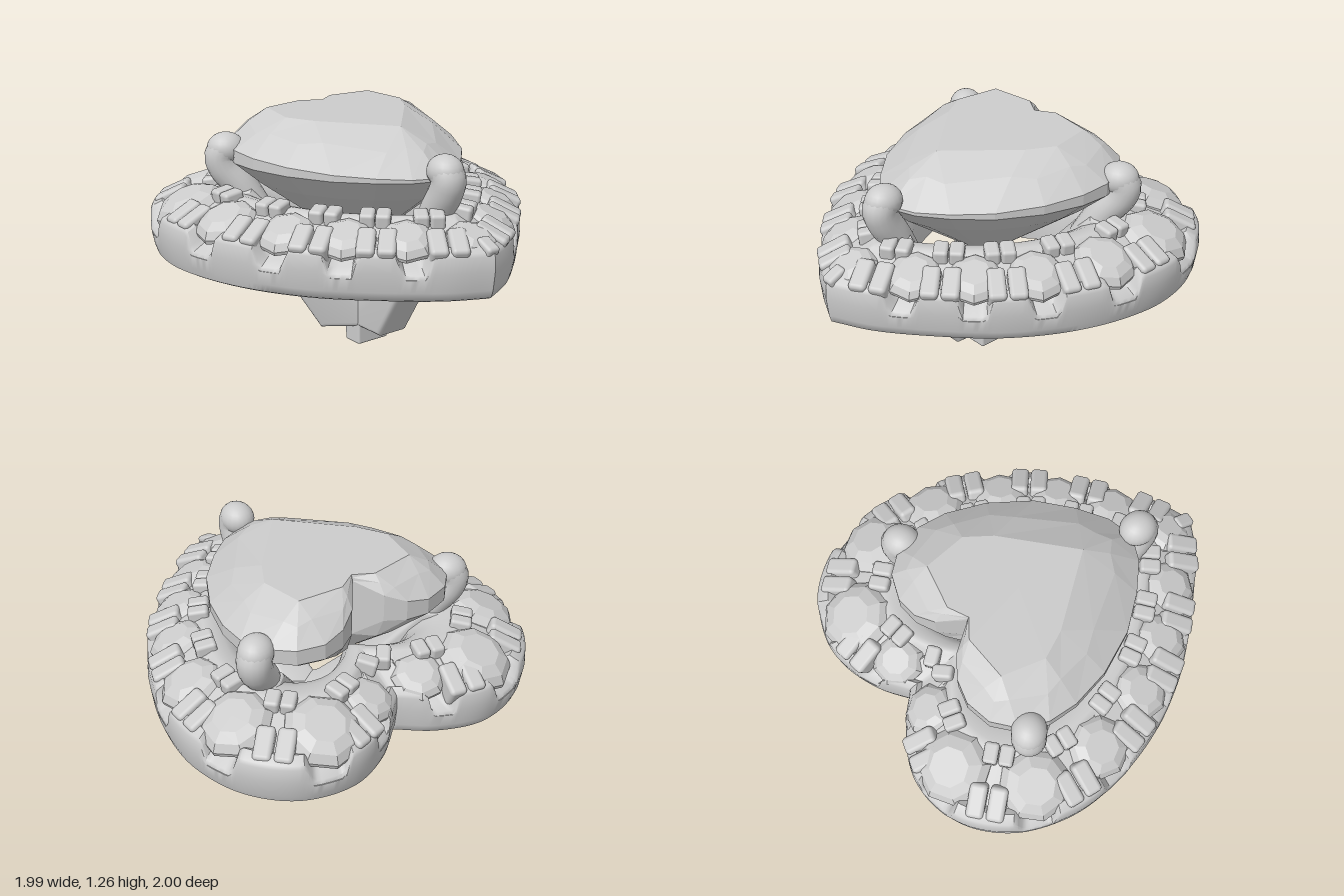
import * as THREE from 'three';
import { toCreasedNormals } from 'three/addons/utils/BufferGeometryUtils.js';
import { RoundedBoxGeometry } from 'three/addons/geometries/RoundedBoxGeometry.js';

const metal = new THREE.MeshStandardMaterial({ color: 0xcccccc });
metal.name = 'silver grey';

// Half outlines from cleft to tip, [outer x, outer z, inner x, inner z]
const HALO = [
  [0, -0.78, 0, -0.46], [0.18, -0.92, 0.12, -0.56], [0.42, -1, 0.3, -0.63], [0.7, -0.93, 0.47, -0.59],
  [0.9, -0.72, 0.58, -0.47], [0.99, -0.42, 0.62, -0.33], [0.97, -0.14, 0.61, -0.16], [0.87, 0.16, 0.54, 0.06],
  [0.69, 0.45, 0.42, 0.28], [0.455, 0.69, 0.28, 0.44], [0.205, 0.895, 0.13, 0.57], [0, 1, 0, 0.66],
];
// Halo stones [position along outline, radius] and the gaps between them
const STONES = [[1.05, 0.14], [2.5, 0.2], [4.4, 0.19], [6.05, 0.17], [7.35, 0.155], [8.4, 0.15], [9.5, 0.15], [11, 0.135]];
const GAPS = [1.75, 3.45, 5.25, 6.75, 7.88, 8.95, 10.2];

const last = HALO.length - 1;
const curve = (k) => new THREE.CatmullRomCurve3(HALO.map((p) => new THREE.Vector3(p[k], 0, p[k + 1])));
const outer = curve(0), inner = curve(2);
// u runs from the inner (0) to the outer outline (1); below 0 it shrinks the inner one
const haloPoint = (t, u, y) => {
  const p = inner.getPoint(t / last);
  if (u < 0) p.multiplyScalar(1 + u);
  else p.lerp(outer.getPoint(t / last), u);
  p.y = y;
  return p;
};

// Skin closed rings of points, listed from the bottom outwards and up
function loft(rings, wrap) {
  const n = rings[0].length, m = rings.length, index = [];
  for (let j = 0; j < (wrap ? m : m - 1); j++) {
    for (let i = 0; i < n; i++) {
      const a = j * n + i, b = j * n + (i + 1) % n;
      const c = ((j + 1) % m) * n + i, d = ((j + 1) % m) * n + (i + 1) % n;
      index.push(a, c, b, b, c, d);
    }
  }
  const g = new THREE.BufferGeometry().setFromPoints(rings.flat());
  g.setIndex(index);
  return g;
}

function facet(geometry) {
  const g = geometry.toNonIndexed();
  g.computeVertexNormals();
  return g;
}

function add(parent, name, geometry) {
  const mesh = new THREE.Mesh(geometry, metal);
  mesh.name = name;
  parent.add(mesh);
  return mesh;
}

// Mirror a half ring (cleft to tip) to the other side
const mirrorRing = (half) => [
  ...half,
  ...half.slice(1, -1).reverse().map((p) => new THREE.Vector3(-p.x, p.y, p.z)),
];

// Solid heart ring with scallops in its rim and a ledge reaching in under the gem
function haloTray() {
  const steps = last * 14;
  const section = (t) => {
    let dip = 0;
    for (const [ts, r] of STONES.slice(0, -1)) {
      const d = outer.getPoint(t / last).distanceTo(outer.getPoint(ts / last));
      dip = Math.max(dip, 1 - THREE.MathUtils.smoothstep(d, r * 0.36, r * 0.62));
    }
    const rim = 0.755 - 0.105 * dip, fill = 0.06 * (1 - dip);
    return [
      [-0.32, 0.51], [0.88, 0.51], [0.93, 0.52], [0.965, 0.56], [1, 0.66 - 0.03 * dip], [0.99, rim - 0.02], [0.965, rim],
      [0.84, rim + 0.025], [0.75, 0.695 + fill], [0.28, 0.77 + fill], [0.17, 0.85], [0.1, 0.865], [0, 0.865],
      [-0.1, 0.85], [-0.18, 0.825], [-0.27, 0.76], [-0.32, 0.69],
    ];
  };
  const halves = section(0).map(() => []);
  for (let i = 0; i <= steps; i++) {
    const t = (i / steps) * last;
    section(t).forEach(([u, y], j) => halves[j].push(haloPoint(t, u, y)));
  }
  return toCreasedNormals(loft(halves.map(mirrorRing), true), 0.75);
}

// Put a part on the halo, its z axis pointing outwards and sloping down
function seat(mesh, t, u, y, side, tilt, slide = 0) {
  const p = haloPoint(t, u, y);
  const along = haloPoint(Math.min(t + 0.3, last), u, 0).sub(haloPoint(t - 0.3, u, 0)).normalize();
  if (t === last) along.set(-1, 0, 0);
  p.addScaledVector(along, slide);
  mesh.position.set(p.x * side, p.y, p.z);
  mesh.rotation.order = 'YXZ';
  mesh.rotation.set(tilt, Math.atan2(along.z * side, -along.x), 0);
}

function smallStone(r) {
  const profile = [[0, -0.6], [1, -0.06], [1, 0.06], [0.82, 0.27], [0.52, 0.42], [0, 0.42]];
  return facet(new THREE.LatheGeometry(profile.map(([x, y]) => new THREE.Vector2(x * r, y * r)), 8));
}

// Heart-cut centre stone from girdle and table outlines, with an upright cleft wall
function centreGem() {
  const girdle = [[0, -0.4], [0.1, -0.53], [0.2, -0.59], [0.32, -0.61], [0.46, -0.57], [0.56, -0.47], [0.615, -0.32],
    [0.61, -0.16], [0.55, 0.05], [0.43, 0.27], [0.28, 0.43], [0.14, 0.54], [0, 0.59]];
  const corners = [[0, -0.39], [0.1, -0.45], [0.34, -0.42], [0.38, -0.19], [0.3, -0.05], [0, 0.28]];
  const table = [0, 1, 1, 2, 2, 2, 3, 3, 4, 4, 5, 5, 5].map((i) => corners[i]);
  const cleftRise = [0.135, 0.07, 0.025];
  const top = (i, z) => 1.07 - 0.06 * z + (cleftRise[i] ?? 0);
  const ring = (f) => mirrorRing(girdle.map((g, i) => new THREE.Vector3(...f(g, table[i], i))));
  return facet(loft([
    ring(() => [0, 0.52, -0.05]),
    ring(([x, z], tb, i) => {
      const k = [1, 0.92, 0.85][i] ?? 0.8;
      return [x * k, 0.905, z * k];
    }),
    ring(([x, z]) => [x, 1.02, z]),
    ring(([x, z], tb, i) => [x, top(i, z), z]),
    ring(([x, z], [a, b], i) => {
      const k = 0.42 + 0.1 * (i % 2);
      const low = top(i, z), high = 1.249 - 0.03 * b;
      return [x + (a - x) * k, low + (high - low) * (k + 0.1), z + (b - z) * k];
    }),
    ring((g, [a, b]) => [a, 1.249 - 0.03 * b, b]),
    ring(() => [0, 1.252, -0.1]),
  ], false));
}

// Splayed leg running up into a rounded claw over the gem
function legAndClaw(name, angle, k) {
  const group = new THREE.Group();
  group.name = name;
  const outline = [[-0.02, 0.115], [0.215 + 0.025 * k, 0.115], [0.455 + 0.04 * k, 0.51], [0.64 + 0.08 * k, 0.84],
    [0.53 + 0.08 * k, 0.86], [0.33 - 0.04 * k, 0.51], [0.08, 0.35], [-0.02, 0.32]];
  const shape = new THREE.Shape(outline.map(([x, y]) => new THREE.Vector2(x, y)));
  const leg = new THREE.ExtrudeGeometry(shape, {
    depth: 0.15, bevelEnabled: true, bevelSize: 0.025, bevelThickness: 0.025, bevelOffset: -0.01, bevelSegments: 3,
  });
  leg.translate(0, 0, -0.075);
  add(group, 'leg', toCreasedNormals(leg, 0.6));
  const r = 0.11 * k;
  const path = new THREE.CatmullRomCurve3(
    [[0.5 - 0.04 * k, 0.72], [0.575 - 0.02 * k, 0.88], [0.635, 0.98], [0.652, 1.04], [0.63, 1.08]]
      .map(([x, y]) => new THREE.Vector3(x + r, y, 0)));
  add(group, 'claw', new THREE.TubeGeometry(path, 20, 0.088, 18));
  const tip = add(group, 'clawTip', new THREE.SphereGeometry(0.09, 20, 14));
  tip.position.set(0.625 + r, 1.08, 0);
  tip.scale.set(1.12, 0.95, 1);
  group.rotation.y = angle;
  return group;
}

export function createModel() {
  const model = new THREE.Group();
  model.name = 'heartSetting';

  add(model, 'haloTray', haloTray());
  add(model, 'centreGem', centreGem());

  // Halo stones and the paired fingers that hold them
  const outerFinger = new RoundedBoxGeometry(0.092, 0.13, 0.18, 3, 0.022);
  const innerFinger = new RoundedBoxGeometry(0.075, 0.09, 0.11, 3, 0.018);
  for (const side of [1, -1]) {
    for (const [t, r] of STONES) {
      if (t === last && side < 0) continue;
      seat(add(model, 'haloStone', smallStone(r)), t, 0.5, 0.775, side, 0.38);
    }
    for (const t of GAPS) {
      for (const s of [-1, 1]) {
        seat(add(model, 'outerFinger', outerFinger), t, 0.68, 0.757, side, 0.45, s * 0.052);
        seat(add(model, 'innerFinger', innerFinger), t, 0.15, 0.855, side, 0.15, s * 0.04);
      }
    }
    seat(add(model, 'cleftFinger', innerFinger), 0.4, 0.28, 0.855, side, 0.2);
  }
  seat(add(model, 'tipFinger', innerFinger), last, 0.8, 0.755, 1, 0.45);

  // Legs, claws and the peg they stand on
  model.add(legAndClaw('frontLeg', -Math.PI / 2, 0));
  model.add(legAndClaw('backLeftLeg', Math.atan2(0.58, 0.81), 1));
  model.add(legAndClaw('backRightLeg', Math.atan2(0.58, -0.81), 1));
  const peg = add(model, 'peg', new RoundedBoxGeometry(0.2, 0.16, 0.12, 3, 0.012));
  peg.position.y = 0.08;
  return model;
}
